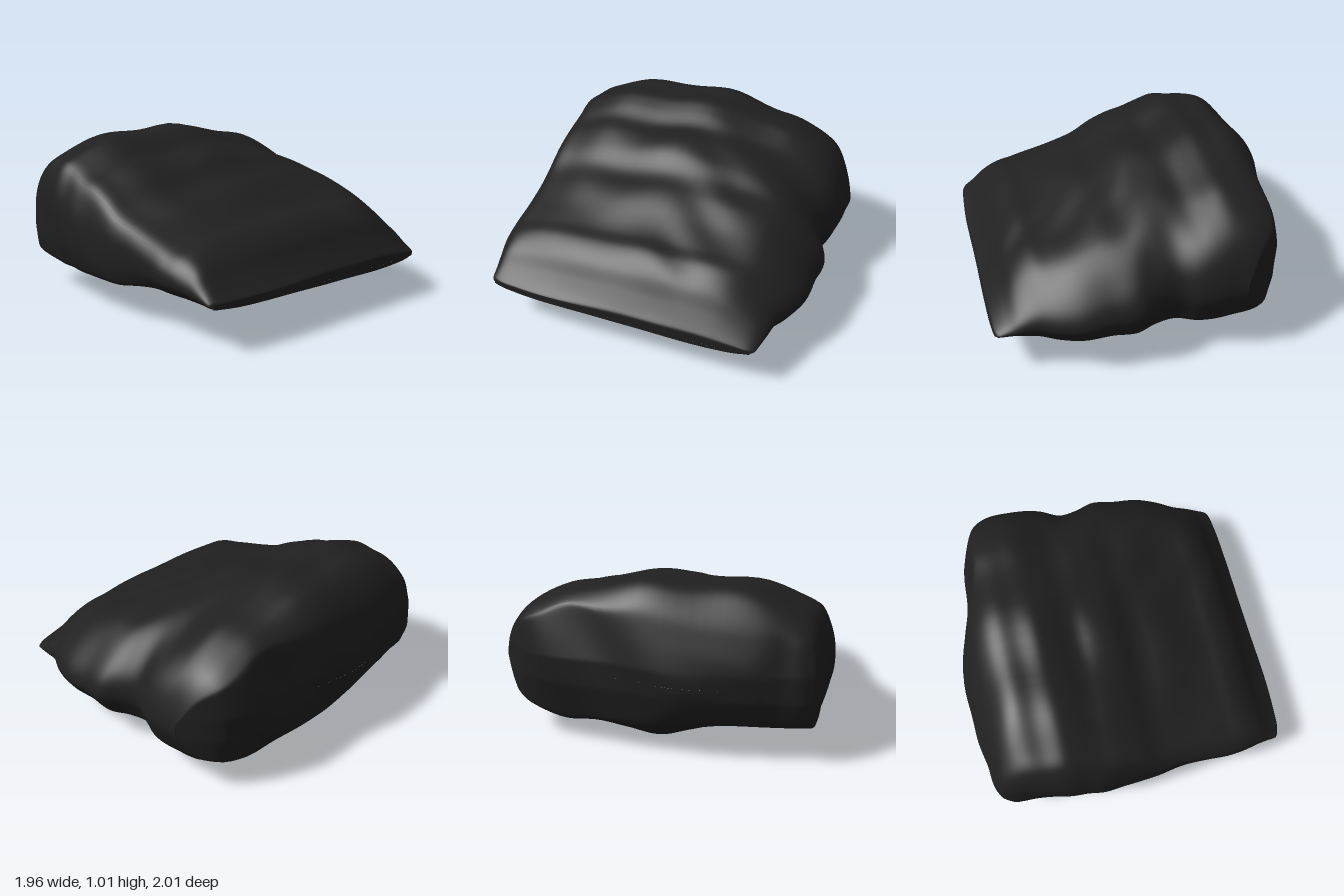
import * as THREE from 'three';

// Stations along x: [x, rim height, top, underside, back z, front z]
const STATIONS = [
  [-0.99, 0.47, 0.5, 0.44, -0.8, 0.86],
  [-0.96, 0.38, 0.61, 0.33, -0.85, 0.9],
  [-0.91, 0.29, 0.74, 0.24, -0.9, 0.92],
  [-0.87, 0.24, 0.83, 0.18, -0.93, 0.93],
  [-0.78, 0.21, 0.94, 0.1, -0.96, 0.94],
  [-0.68, 0.2, 1.0, 0.03, -0.98, 0.95],
  [-0.57, 0.2, 1.01, -0.005, -1.0, 0.97],
  [-0.46, 0.2, 1.01, 0.01, -1.0, 0.99],
  [-0.36, 0.2, 0.97, 0.05, -1.0, 0.99],
  [-0.25, 0.2, 0.92, 0.09, -0.98, 1.0],
  [-0.13, 0.2, 0.9, 0.09, -0.92, 0.99],
  [0, 0.2, 0.85, 0.11, -0.94, 0.985],
  [0.12, 0.2, 0.78, 0.13, -0.99, 0.98],
  [0.27, 0.21, 0.73, 0.15, -0.98, 0.96],
  [0.45, 0.21, 0.65, 0.13, -0.98, 0.95],
  [0.58, 0.21, 0.6, 0.16, -0.94, 0.95],
  [0.69, 0.21, 0.57, 0.17, -0.88, 0.94],
  [0.8, 0.21, 0.49, 0.19, -0.85, 0.92],
  [0.87, 0.22, 0.4, 0.2, -0.83, 0.91],
  [0.94, 0.23, 0.32, 0.2, -0.81, 0.9],
  [0.985, 0.24, 0.28, 0.21, -0.79, 0.88],
];

// Cross-section, normalised: z from -1 to 1, height -1 (keel), 0 (rim), 1 (crest)
const SECTION = [
  [0, -1], [0.2, -0.72], [0.42, -0.35], [0.7, -0.22], [0.93, -0.04], [0.98, 0.1],
  [1, 0.32], [0.985, 0.58], [0.92, 0.77], [0.8, 0.85], [0.6, 0.94], [0.3, 0.96],
  [-0.08, 1], [-0.4, 0.9], [-0.6, 0.85], [-0.8, 0.73], [-0.91, 0.6], [-0.98, 0.43],
  [-1, 0.26], [-0.95, 0.07], [-0.88, -0.15], [-0.78, -0.4], [-0.6, -0.6], [-0.4, -0.52],
  [-0.2, -0.75],
];

// Plan outline: [z, left x, right x]
const OUTLINE = [
  [-1, -0.52, 0.8], [-0.95, -0.61, 0.83], [-0.85, -0.74, 0.91], [-0.78, -0.78, 0.945],
  [-0.7, -0.81, 0.955], [-0.4, -0.86, 0.965], [0, -0.95, 0.97], [0.2, -0.985, 0.975],
  [0.5, -0.965, 0.985], [0.7, -0.92, 0.975], [0.86, -0.9, 0.955], [0.92, -0.84, 0.92],
  [1, -0.5, 0.8],
];

// Smooth lookup in a table sorted by its first column
function curveOf(table) {
  const keys = table.map((row) => row[0]);
  const values = table.flatMap((row) => row.slice(1));
  return new THREE.CubicInterpolant(keys, values, table[0].length - 1);
}

const { smoothstep: smooth, lerp } = THREE.MathUtils;
const softMax = (a, b) => (a + b + Math.hypot(a - b, 0.015)) / 2;

// Irregular ledges and shallow hollows on the upper slope
function ledges(x, z) {
  const wander = 0.14 * Math.sin(3.1 * z + 0.6) + 0.06 * Math.sin(8 * z + 2);
  const patch = 0.5 + 0.5 * Math.sin(4.3 * z + 2.2 * x + 1);
  return 0.008 * patch * Math.sin(17 * (x + wander))
    + 0.006 * Math.sin(6 * x - 5 * z + 1)
    + 0.006 * Math.sin(11 * z + 5 * x) * Math.sin(9 * x + 2 - 3 * z);
}

// Section height at a; towards the thin end the crest and keel move to the back
function sectionHeight(s, a, b) {
  const tilt = smooth(s, -0.35, 0.3);
  if (b > 0) {
    const frontDrop = 1 - 0.1 * tilt * smooth(a, 0, 0.8);
    const backRise = 0.11 * tilt * smooth(-a, 0.1, 0.5) * (1 - smooth(-a, 0.65, 0.95));
    return b * frontDrop + backRise;
  }
  const broad = -(0.45 + 0.45 * Math.exp(-(((a + 0.5) / 0.35) ** 2))) * (1 - a ** 6);
  return lerp(b, broad, 0.7 * tilt * smooth(-b, 0, 0.2));
}

function rockGeometry() {
  const RINGS = 120;
  const SIDES = 120;
  const stations = curveOf(STATIONS);
  const plan = curveOf(OUTLINE);
  const outline = new THREE.CatmullRomCurve3(
    SECTION.map(([a, b]) => new THREE.Vector3(a, b, 0)), true, 'centripetal',
  ).getPoints(SIDES).slice(0, SIDES);
  const positions = [];
  const indices = [];

  for (let i = 0; i <= RINGS; i++) {
    // Rings crowd together towards both ends
    const s = -0.0025 - 0.9875 * Math.cos((Math.PI * i) / RINGS);
    const [rim, top, bottom, back, front] = stations.evaluate(s);
    const closed = i === 0 || i === RINGS;
    const body = smooth(top - bottom, 0.02, 0.4);

    for (const { x: a, y: b } of outline) {
      let z = (front + back) / 2 + (a * (front - back)) / 2;
      const h = sectionHeight(s, a, b);
      let y = closed ? rim : rim + h * (h > 0 ? top - rim : rim - bottom);

      // The rim rises at the back left corner and along the front right
      const low = 1 - smooth(b, 0, 0.5);
      y += 0.06 * body * low * smooth(-a, 0.5, 1) * smooth(-s, 0, 0.8);
      y += 0.05 * body * low * smooth(a, 0.75, 1) * smooth(s, 0.15, 0.55);

      // Weathering of the top, the sides and the underside
      y += body * ledges(s, z) * smooth(b, 0.3, 0.9);
      y += body * 0.006 * Math.sin(9 * s + 4 * z) * smooth(-b, 0.1, 0.6);
      z += body * 0.008 * Math.sin(8 * s + 9 * y) * smooth(Math.abs(a), 0.8, 1);

      // The plan outline cuts the ends; the thick end leans in above and below
      const [leftEdge, right] = plan.evaluate(z);
      const lean = 0.25 * Math.max(0, Math.abs(y - 0.47) - 0.08);
      const left = leftEdge + lean + 0.01 * Math.sin(10 * z + 8 * y);
      const x = -softMax(-softMax(s, left), -right);
      positions.push(x, Math.max(y, 0), z);
    }
  }

  for (let i = 0; i < RINGS; i++) {
    for (let j = 0; j < SIDES; j++) {
      const k = (j + 1) % SIDES;
      const [p, q, r, t] = [i * SIDES + j, (i + 1) * SIDES + j, (i + 1) * SIDES + k, i * SIDES + k];
      indices.push(p, q, r, p, r, t);
    }
  }

  const geometry = new THREE.BufferGeometry();
  geometry.setAttribute('position', new THREE.Float32BufferAttribute(positions, 3));
  geometry.setIndex(indices);
  geometry.computeVertexNormals();
  return geometry;
}

export function createModel() {
  const group = new THREE.Group();
  group.name = 'boulder';
  const stone = new THREE.MeshStandardMaterial({ color: 0x202020 });
  stone.name = 'dark stone';
  const rock = new THREE.Mesh(rockGeometry(), stone);
  rock.name = 'rock';
  group.add(rock);
  return group;
}
